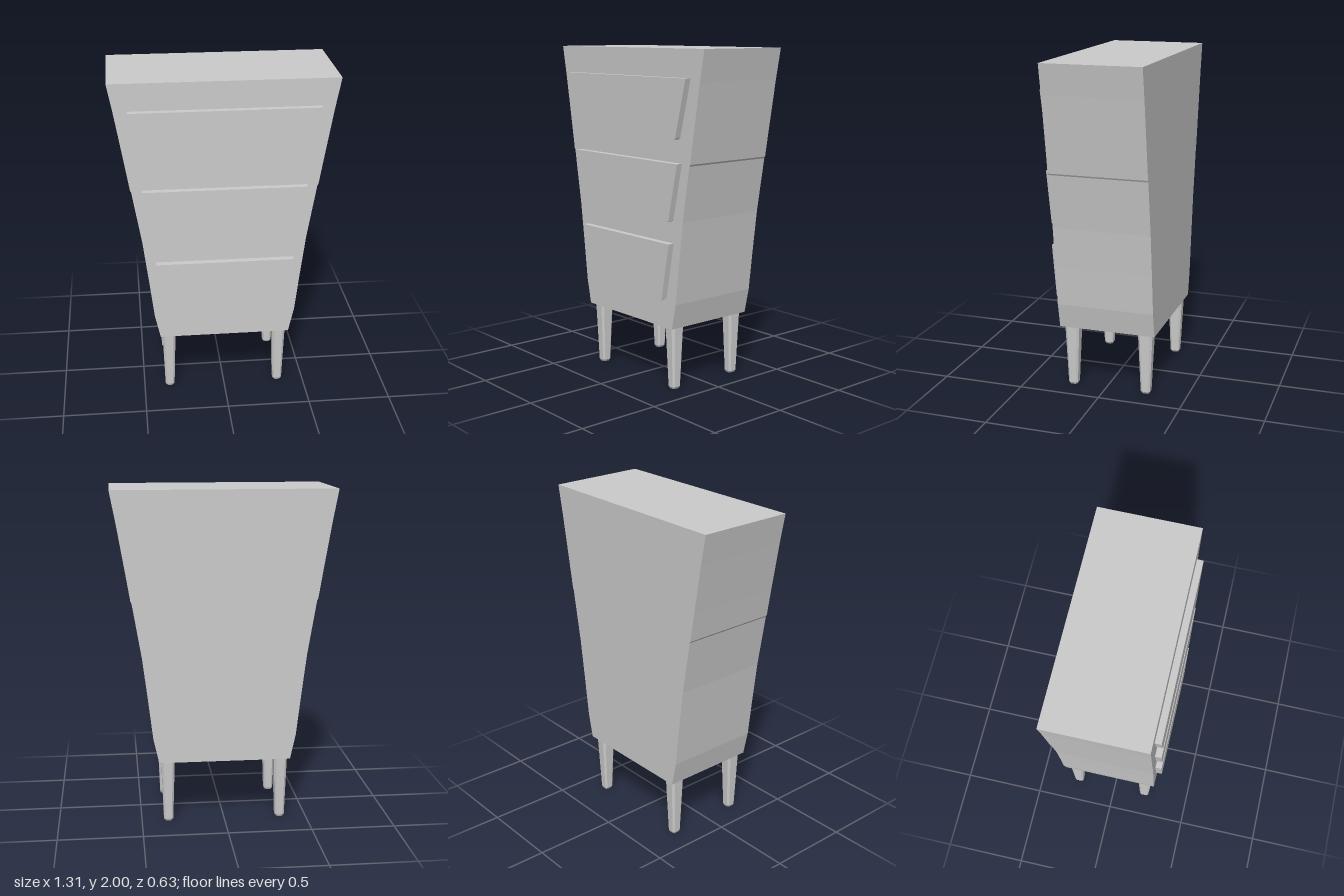
import * as THREE from 'three';

const material = new THREE.MeshStandardMaterial({ color: 0xcccccc, flatShading: true });

// Symmetric panel: [halfWidth, y] points from bottom to top, extruded from z0 to z1
function panel(name, side, z0, z1) {
  const right = side.map(([x, y]) => new THREE.Vector2(x, y));
  const left = side.map(([x, y]) => new THREE.Vector2(-x, y)).reverse();
  const geometry = new THREE.ExtrudeGeometry(new THREE.Shape([...right, ...left]), {
    depth: z1 - z0, bevelEnabled: false,
  });
  geometry.translate(0, 0, z0);
  const mesh = new THREE.Mesh(geometry, material);
  mesh.name = name;
  return mesh;
}

// Tapered leg: stacked rectangular rings with trimmed corners
function legGeometry() {
  // [y, half width, half depth, corner trim]
  const rings = [
    [0.005, 0.021, 0.023, 0.009],
    [0.018, 0.028, 0.029, 0.010],
    [0.392, 0.040, 0.045, 0.013],
  ];
  const positions = [], index = [], n = 8;
  for (const [y, w, d, c] of rings) {
    const ring = [
      [w, d - c], [w - c, d], [c - w, d], [-w, d - c],
      [-w, c - d], [c - w, -d], [w - c, -d], [w, c - d],
    ];
    for (const [x, z] of ring) positions.push(x, y, z);
  }
  for (let r = 0; r < rings.length - 1; r++) {
    for (let i = 0; i < n; i++) {
      const a = r * n + i, b = r * n + (i + 1) % n;
      index.push(a, a + n, b, b, a + n, b + n);
    }
  }
  // Foot and top caps
  const top = (rings.length - 1) * n;
  for (let i = 1; i < n - 1; i++) {
    index.push(0, i, i + 1, top, top + i + 1, top + i);
  }
  const geometry = new THREE.BufferGeometry();
  geometry.setAttribute('position', new THREE.Float32BufferAttribute(positions, 3));
  geometry.setIndex(index);
  const flat = geometry.toNonIndexed();
  flat.computeVertexNormals();
  return flat;
}

export function createModel() {
  const model = new THREE.Group();
  model.name = 'chestOfDrawers';

  // Cabinet flaring towards the top, with a small kink at mid height
  model.add(panel('cabinet', [
    [0.394, 0.388], [0.427, 0.54], [0.455, 0.78], [0.486, 1.03], [0.54, 1.355],
    [0.546, 1.365], [0.573, 1.53], [0.622, 1.82], [0.656, 2],
  ], -0.315, 0.277));

  // Drawer fronts: [bottom y, bottom half width, top y, top half width]
  const drawers = new THREE.Group();
  drawers.name = 'drawers';
  [
    ['lowerDrawer', 0.555, 0.345, 0.90, 0.409],
    ['middleDrawer', 1.027, 0.405, 1.365, 0.478],
    ['upperDrawer', 1.50, 0.462, 1.84, 0.547],
  ].forEach(([name, y0, w0, y1, w1]) => {
    drawers.add(panel(name, [[w0 - 0.015, y0], [w0, y0 + 0.006], [w1, y1]], 0.27, 0.315));
  });
  model.add(drawers);

  // Four legs
  const geometry = legGeometry();
  for (const [sideName, x] of [['Left', 0.339], ['Right', -0.341]]) {
    for (const [endName, z] of [['front', 0.21], ['back', -0.25]]) {
      const leg = new THREE.Mesh(geometry, material);
      leg.name = endName + sideName + 'Leg';
      leg.position.set(x, 0, z);
      model.add(leg);
    }
  }
  return model;
}
